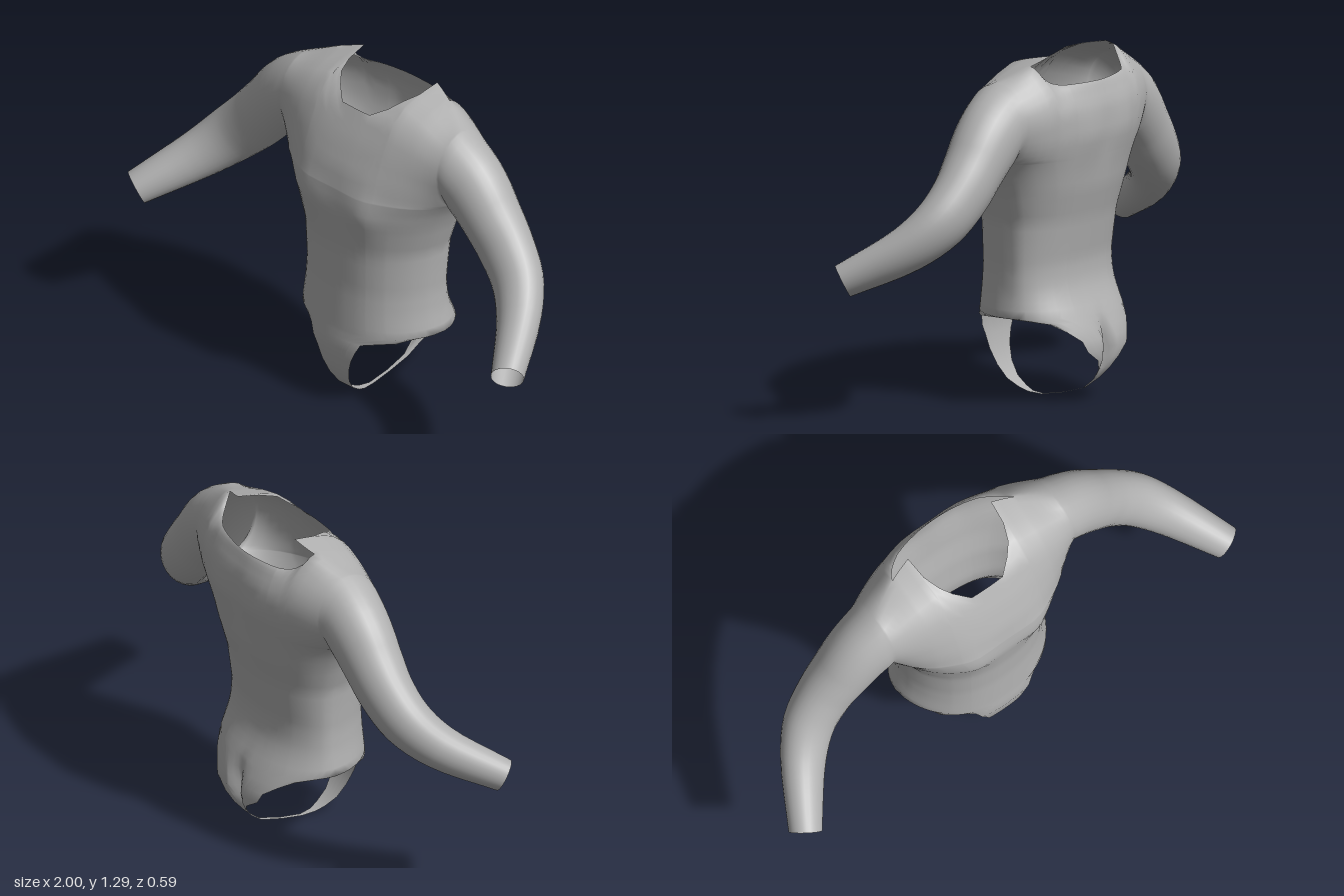
import * as THREE from 'three';
import { mergeGeometries, mergeVertices } from 'three/addons/utils/BufferGeometryUtils.js';

const ARMPIT = 0.915, SHOULDER = 1.21, NECK = 1.29, MID = -0.06, ARM_X = 0.405, STEPS = 14;

// Piecewise-linear lookup in a list of [key, value] pairs
function look(table, k) {
  if (k <= table[0][0]) return table[0][1];
  for (let i = 1; i < table.length; i++) {
    const [k0, v0] = table[i - 1], [k1, v1] = table[i];
    if (k <= k1) return v0 + (v1 - v0) * (k - k0) / (k1 - k0);
  }
  return table[table.length - 1][1];
}
const lerp = THREE.MathUtils.lerp;
const bell = (d, w) => Math.exp(-(d / w) * (d / w));

// Body profiles by height: half width, front depth, back depth
const WIDTH = [[0.33, 0.315], [0.42, 0.3], [0.5, 0.295], [0.6, 0.3], [0.68, 0.306], [0.8, 0.345], [0.87, 0.375], [ARMPIT, ARM_X]];
const FRONT = [[0, 0], [0.005, 0.05], [0.02, 0.085], [0.05, 0.13], [0.1, 0.165], [0.16, 0.188], [0.25, 0.203], [0.33, 0.195],
  [0.5, 0.185], [0.66, 0.188], [0.76, 0.2], [0.84, 0.21], [ARMPIT, 0.2], [1, 0.178], [1.1, 0.135], [1.2, 0.08], [1.26, 0], [NECK, -0.17]];
const BACK = [[0, 0], [0.015, -0.09], [0.04, -0.18], [0.08, -0.235], [0.12, -0.268], [0.16, -0.288], [0.2, -0.295], [0.25, -0.29],
  [0.33, -0.255], [0.4, -0.22], [0.45, -0.205], [0.52, -0.2], [0.68, -0.225], [0.8, -0.255], [ARMPIT, -0.272], [1, -0.285],
  [1.1, -0.283], [1.18, -0.255], [1.23, -0.215], [NECK, -0.17]];

// Top edges across the half width: shoulder line and the two necklines
const SEAM = [[0.46, NECK], [0.68, 1.262], [0.9, 1.225], [1, SHOULDER]];
const NECK_FRONT = [[0.17, 1.2], [0.3, 1.23], [0.38, 1.258], [0.44, 1.272], [0.46, NECK]];
const NECK_BACK = [[0, 1.185], [0.5, 1.19], [0.58, 1.2], [0.64, 1.225], [0.68, 1.262]];

// Leg-opening outlines: [height, half width]
const PANEL_FRONT = [[0.33, 0.315], [0.315, 0.24], [0.29, 0.125], [0.25, 0.105], [0.21, 0.085], [0.16, 0.068],
  [0.1, 0.05], [0.05, 0.037], [0.02, 0.025], [0.005, 0.015], [0, 0.008]];
const PANEL_BACK = [[0.33, 0.315], [0.31, 0.245], [0.28, 0.2], [0.24, 0.15], [0.2, 0.13], [0.16, 0.07],
  [0.12, 0.04], [0.08, 0.02], [0.04, 0.01], [0.015, 0.007], [0, 0.008]];

const HALF = [0.08, 0.17, 0.3, 0.38, 0.44, 0.46, 0.52, 0.58, 0.64, 0.68, 0.76, 0.84, 0.9, 0.95, 0.98, 1];
const COLUMNS = [...HALF.map(u => -u).reverse(), 0, ...HALF];

// Chest, shoulder-blade and seat modelling added to the plain section
function relief(x, y, isFront) {
  if (isFront) return 0.014 * bell(Math.abs(x) - 0.14, 0.07) * bell(y - 0.86, 0.1);
  return -0.013 * bell(Math.abs(x) - 0.11, 0.07) * bell(y - 1.02, 0.12)
    + 0.05 * bell(x, 0.025) * bell(y - 0.2, 0.08);
}

function lowerPoint(x, y, isFront) {
  const u = Math.min(1, Math.abs(x) / look(WIDTH, y));
  const section = Math.pow(1 - Math.pow(u, 2.4), 0.55);
  const z = lerp(MID, look(isFront ? FRONT : BACK, y), section);
  return new THREE.Vector3(x, y, z + relief(x, y, isFront) * section);
}

// t runs from the armpit (0) to the neckline or shoulder seam (1)
function upperPoint(u, t, isFront) {
  const a = Math.abs(u), rise = (1 - Math.cos(Math.PI * t)) / 2;
  const seam = look(SEAM, a);
  const top = a >= (isFront ? 0.46 : 0.68) ? seam : look(isFront ? NECK_FRONT : NECK_BACK, a);
  const y = lerp(ARMPIT, top, rise);
  const level = ARMPIT + (y - ARMPIT) * (NECK - ARMPIT) / (seam - ARMPIT);
  const edge = MID + (isFront ? 0.125 : -0.13) * Math.sin(Math.PI * t);
  const section = Math.pow(1 - Math.pow(a, 2.4), lerp(0.55, 1, Math.min(1, t * 2.5)));
  const z = lerp(edge, look(isFront ? FRONT : BACK, level), section);
  return new THREE.Vector3(u * ARM_X, y, z + relief(u * ARM_X, y, isFront) * section * (1 - t * t));
}

// Surface through rows of points
function sheet(rows, flip) {
  const n = rows[0].length, index = [];
  for (let r = 0; r < rows.length - 1; r++) {
    for (let c = 0; c < n - 1; c++) {
      const a = r * n + c, b = a + 1, d = a + n, e = d + 1;
      if (flip) index.push(a, d, b, b, d, e);
      else index.push(a, b, d, b, e, d);
    }
  }
  const geometry = new THREE.BufferGeometry().setFromPoints(rows.flat());
  geometry.setIndex(index);
  return geometry;
}

function bodice(isFront) {
  const rows = [];
  for (let i = 0; i < 20; i++) {
    const y = lerp(0.33, ARMPIT, i / 20);
    rows.push(COLUMNS.map(u => lowerPoint(u * look(WIDTH, y), y, isFront)));
  }
  for (let j = 0; j <= STEPS; j++) rows.push(COLUMNS.map(u => upperPoint(u, j / STEPS, isFront)));
  return sheet(rows, !isFront);
}

function panel(isFront) {
  const rows = (isFront ? PANEL_FRONT : PANEL_BACK).map(([y, w]) => COLUMNS.map(u => lowerPoint(u * w, y, isFront)));
  return sheet(rows, isFront);
}

// Sleeve rings follow a bent arm; the first ring is the armhole itself
const v = (x, y, z) => new THREE.Vector3(x, y, z);
const ARM = new THREE.CatmullRomCurve3([v(ARM_X, 1.0625, MID), v(0.47, 1.01, -0.06), v(0.555, 0.92, -0.057),
  v(0.635, 0.832, -0.05), v(0.725, 0.742, -0.02), v(0.812, 0.655, 0.06), v(0.945, 0.537, 0.255)]);
const GIRTH = new THREE.CatmullRomCurve3([v(0.1475, 0.1275, 0), v(0.135, 0.12, 0), v(0.12, 0.11, 0),
  v(0.115, 0.1, 0), v(0.107, 0.092, 0), v(0.092, 0.08, 0), v(0.065, 0.06, 0)]);

function sleeve(side) {
  const rows = [], rings = 24;
  for (let i = 0; i <= rings; i++) {
    const s = i / rings, c = ARM.getPoint(s), g = GIRTH.getPoint(s);
    const d = v(1, 0, 0).lerp(ARM.getTangent(s), Math.min(1, s * 4)).normalize();
    const front = v(0, 0, 1).addScaledVector(d, -d.z).normalize();
    const up = front.clone().cross(d);
    const ring = [];
    for (let j = 0; j <= 2 * STEPS; j++) {
      const isFront = j <= STEPS, t = isFront ? j / STEPS : 2 - j / STEPS;
      const p = i === 0 ? upperPoint(1, t, isFront)
        : c.clone().addScaledVector(up, -g.x * Math.cos(Math.PI * t))
          .addScaledVector(front, (isFront ? 1 : -1) * g.y * Math.sin(Math.PI * t));
      p.x *= side;
      ring.push(p);
    }
    rows.push(ring);
  }
  return sheet(rows, side > 0);
}

export function createModel() {
  const group = new THREE.Group();
  group.name = 'bodysuit';
  const cloth = new THREE.MeshStandardMaterial({ color: 0xb0b0b0, side: THREE.DoubleSide });
  cloth.name = 'grey cloth';

  const parts = {
    bodiceFront: bodice(true), bodiceBack: bodice(false),
    lowerPanelFront: panel(true), lowerPanelBack: panel(false),
    leftSleeve: sleeve(1), rightSleeve: sleeve(-1),
  };

  // Weld everything so shading runs smoothly across the seams, then split by part
  const whole = mergeVertices(mergeGeometries(Object.values(parts)), 1e-4);
  whole.computeVertexNormals();
  let start = 0;
  for (const [name, part] of Object.entries(parts)) {
    const count = part.index.count;
    const geometry = new THREE.BufferGeometry();
    geometry.setAttribute('position', whole.attributes.position);
    geometry.setAttribute('normal', whole.attributes.normal);
    geometry.setIndex(Array.from(whole.index.array.slice(start, start + count)));
    start += count;
    const mesh = new THREE.Mesh(geometry, cloth);
    mesh.name = name;
    group.add(mesh);
  }
  return group;
}
